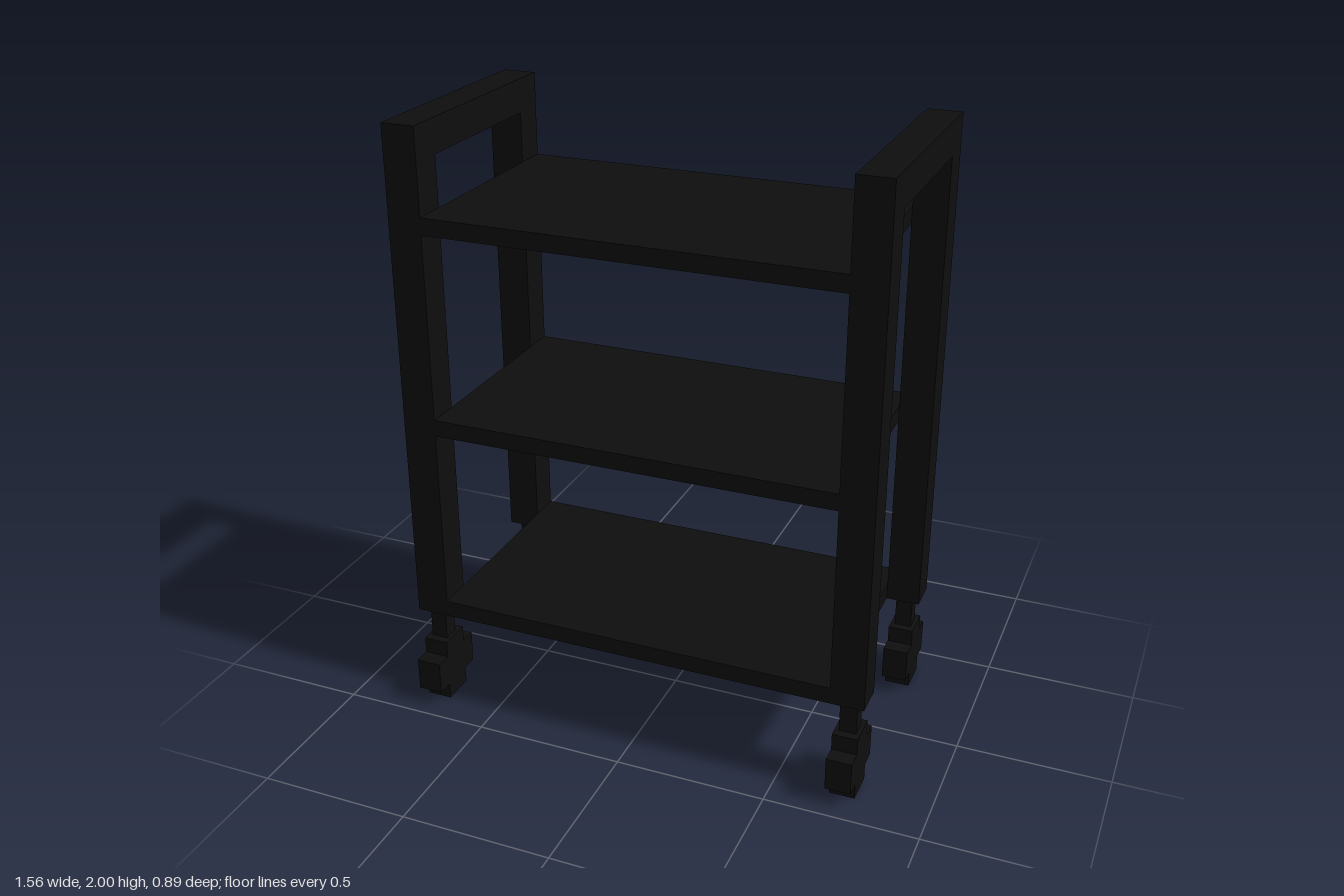
import * as THREE from 'three';

const U = 1 / 18; // the cart is laid out on a grid of 36 units in height

export function createModel() {
  const cart = new THREE.Group();
  cart.name = 'rollingCart';
  const black = new THREE.MeshStandardMaterial({ color: 0x0e0e0e });
  black.name = 'black';

  const add = (parent, name, geometry, x, y, z) => {
    const mesh = new THREE.Mesh(geometry, black);
    mesh.name = name;
    mesh.position.set(x * U, y * U, z * U);
    parent.add(mesh);
  };
  // extrude a z-y outline along x, centred on its width
  const extrudeAlongX = (points, width) => {
    const shape = new THREE.Shape(points.map(([z, y]) => new THREE.Vector2(z * U, y * U)));
    return new THREE.ExtrudeGeometry(shape, { depth: width * U, bevelEnabled: false })
      .translate(0, 0, -width * U / 2)
      .rotateY(-Math.PI / 2);
  };

  // three shelves between the side frames
  const shelf = new THREE.BoxGeometry(24 * U, U, 14 * U);
  ['bottomShelf', 'middleShelf', 'topShelf'].forEach((name, i) =>
    add(cart, name, shelf, 0, 6.5 + 12 * i, 0));

  // side frame: two posts joined by a handle bar on top
  const frame = extrudeAlongX([
    [-7, 6], [-5, 6], [-5, 34], [5, 34], [5, 6], [7, 6], [7, 36], [-7, 36],
  ], 2);
  // blocky wheel with a stepped, cross-shaped outline
  const wheel = extrudeAlongX([
    [-1, -2], [1, -2], [1, -1], [2, -1], [2, 1], [1, 1],
    [1, 2], [-1, 2], [-1, 1], [-2, 1], [-2, -1], [-1, -1],
  ], 1.5);
  const stem = new THREE.BoxGeometry(U, 2 * U, U);

  for (const sx of [1, -1]) {
    const side = sx > 0 ? 'left' : 'right';
    add(cart, side + 'Frame', frame, 13 * sx, 0, 0);
    for (const sz of [1, -1]) {
      const caster = new THREE.Group();
      caster.name = side + (sz > 0 ? 'Front' : 'Back') + 'Caster';
      add(caster, 'stem', stem, 13 * sx, 5, 6 * sz);
      add(caster, 'wheel', wheel, 13 * sx, 2, 6 * sz);
      cart.add(caster);
    }
  }
  return cart;
}
